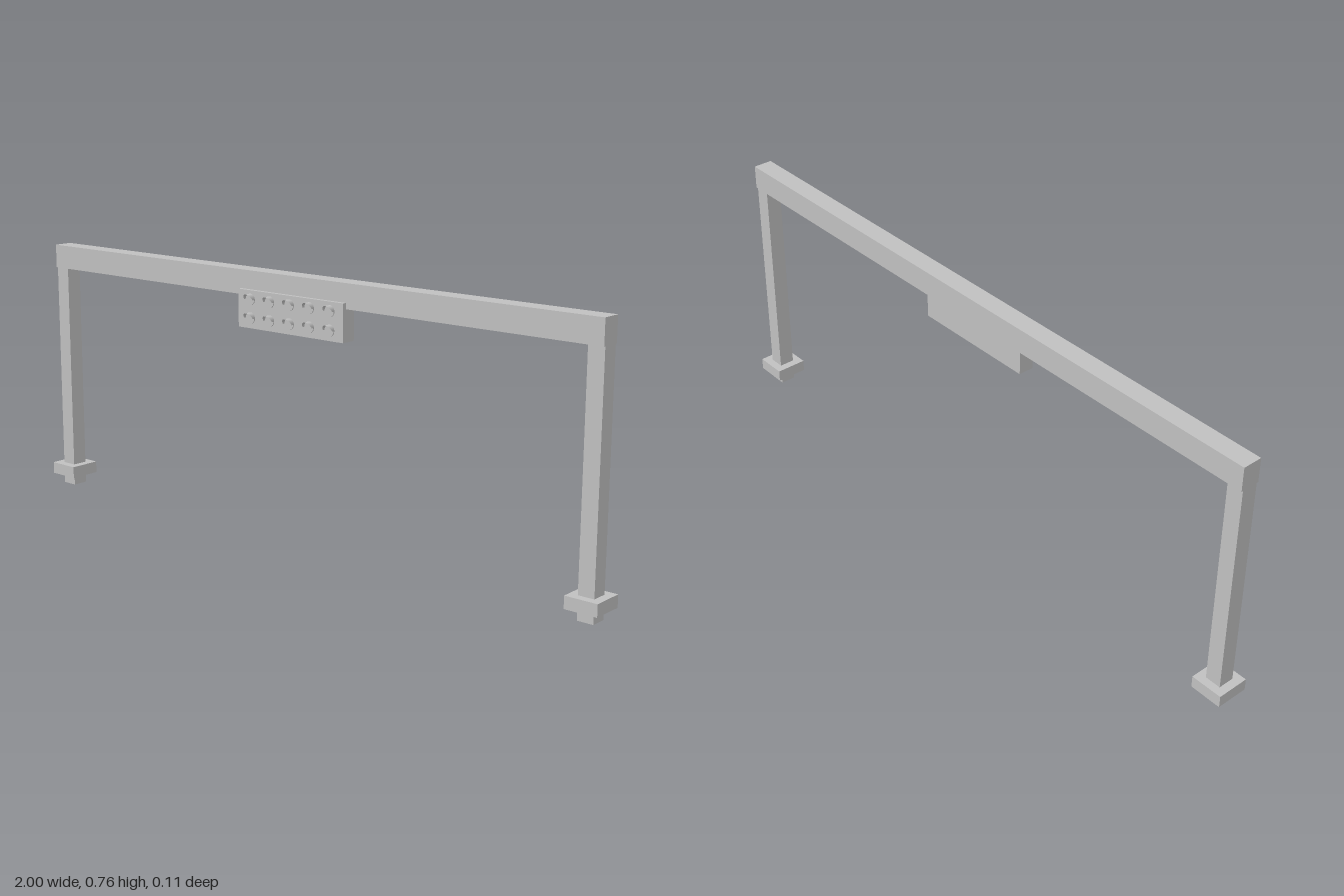
import * as THREE from 'three';

export function createModel() {
  const model = new THREE.Group();
  model.name = 'signalGantry';
  const grey = new THREE.MeshStandardMaterial({ color: 0xc0c0c0, side: THREE.DoubleSide });
  grey.name = 'lightGrey';

  const add = (name, geometry, x, y, z, parent = model) => {
    const mesh = new THREE.Mesh(geometry, grey);
    mesh.name = name;
    mesh.position.set(x, y, z);
    parent.add(mesh);
    return mesh;
  };
  // Box given by its lower and upper limits
  const box = (name, [x0, y0, z0], [x1, y1, z1]) =>
    add(name, new THREE.BoxGeometry(x1 - x0, y1 - y0, z1 - z0),
      (x0 + x1) / 2, (y0 + y1) / 2, (z0 + z1) / 2);

  // Crossbeam and the lamp panel hanging from it
  box('crossbeam', [-0.976, 0.692, -0.034], [0.976, 0.762, 0.023]);
  box('lampPanel', [-0.19, 0.602, -0.01], [0.19, 0.709, 0.035]);

  // Posts with square foot collars
  for (const [side, s] of [['left', 1], ['right', -1]]) {
    const cx = 0.9525 * s;
    box(side + 'Post', [cx - 0.0235, 0, -0.029], [cx + 0.0235, 0.692, 0.018]);
    box(side + 'Collar', [cx - 0.0475, 0.031, -0.053], [cx + 0.0475, 0.066, 0.042]);
  }

  // Lamp: shallow round lens
  const radius = 0.016;
  const lens = new THREE.CylinderGeometry(radius, radius, 0.003, 20).rotateX(Math.PI / 2);

  // Hood: upper half tube whose front edge reaches furthest at the top
  const hood = new THREE.CylinderGeometry(radius, radius, 0.02, 16, 1, true, Math.PI / 2, Math.PI);
  hood.rotateX(Math.PI / 2);
  const p = hood.attributes.position;
  for (let i = 0; i < p.count; i++) {
    p.setZ(i, p.getZ(i) > 0 ? 0.009 + 0.011 * p.getY(i) / radius : 0);
  }

  // Two rows of five hooded lamps
  for (const y of [0.6835, 0.631]) {
    for (let i = -2; i <= 2; i++) {
      const lamp = new THREE.Group();
      lamp.name = 'lamp';
      lamp.position.set(i * 0.072, y, 0.035);
      add('lens', lens, 0, 0, 0.0015, lamp);
      add('hood', hood, 0, 0, 0, lamp);
      model.add(lamp);
    }
  }
  return model;
}
